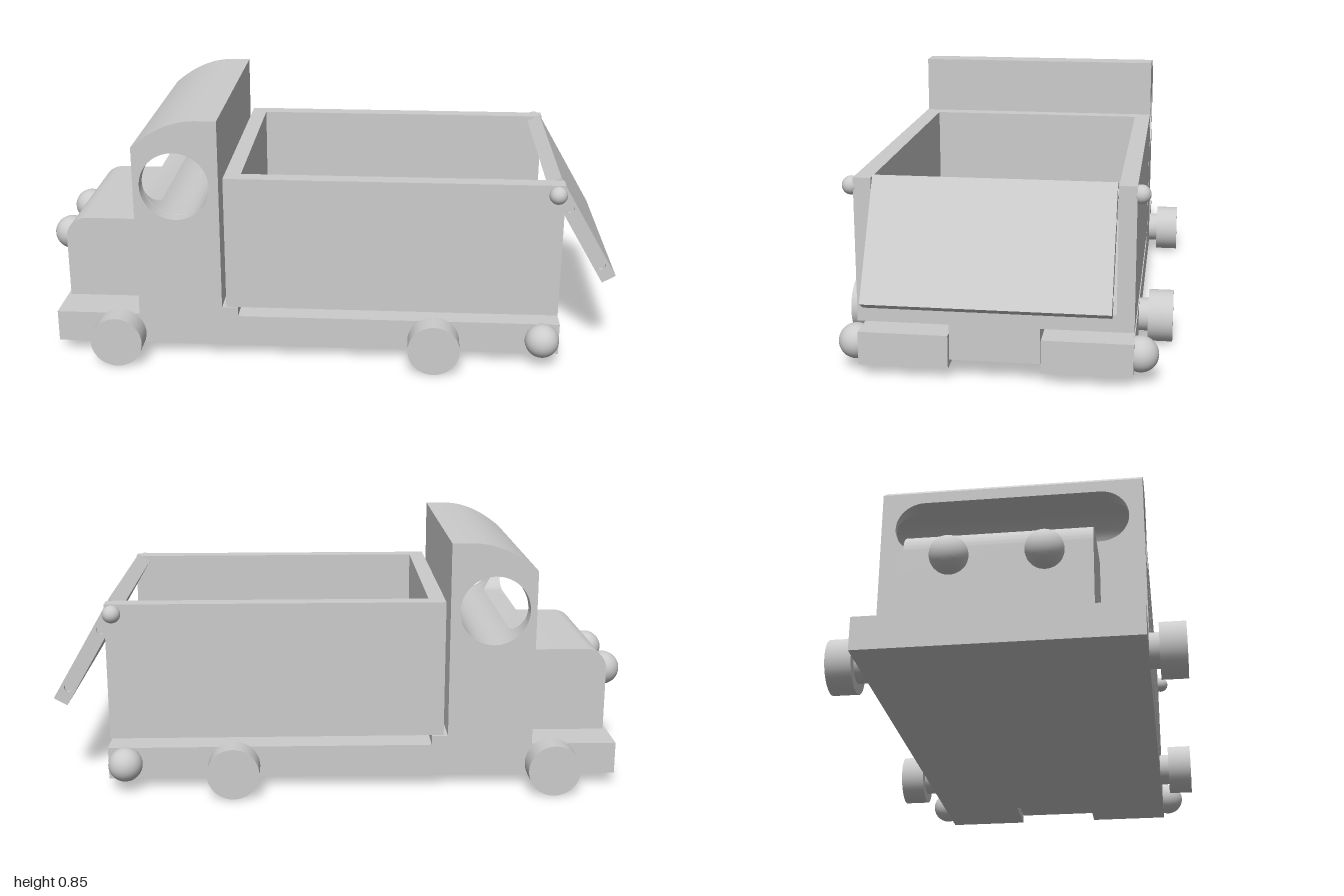
import * as THREE from 'three';
import { toCreasedNormals } from 'three/addons/utils/BufferGeometryUtils.js';

const mat = new THREE.MeshStandardMaterial({ color: 0xcccccc });
const matDouble = new THREE.MeshStandardMaterial({ color: 0xcccccc, side: THREE.DoubleSide });

function add(parent, name, geometry, x = 0, y = 0, z = 0, material = mat) {
  const mesh = new THREE.Mesh(geometry, material);
  mesh.name = name;
  mesh.position.set(x, y, z);
  parent.add(mesh);
  return mesh;
}

// Box given by its limits along each axis
function box(parent, name, [x0, x1], [y0, y1], [z0, z1]) {
  return add(parent, name, new THREE.BoxGeometry(x1 - x0, y1 - y0, z1 - z0),
    (x0 + x1) / 2, (y0 + y1) / 2, (z0 + z1) / 2);
}

// Cylinder lying along z
function rod(parent, name, r, x, y, z0, z1, sides = 32) {
  const g = new THREE.CylinderGeometry(r, r, z1 - z0, sides).rotateX(Math.PI / 2);
  return add(parent, name, g, x, y, (z0 + z1) / 2);
}

const ball = (parent, name, r, x, y, z) => add(parent, name, new THREE.SphereGeometry(r, 32, 20), x, y, z);

const polygon = (pts) => new THREE.Shape(pts.map(([x, y]) => new THREE.Vector2(x, y)));

function extrude(shape, depth) {
  const g = new THREE.ExtrudeGeometry(shape, { depth, bevelEnabled: false, curveSegments: 16 });
  return toCreasedNormals(g.translate(0, 0, -depth / 2), 0.6);
}

// Cab: round side window runs across, a rounded slot opens it to the front
function buildCab(parent) {
  const cab = new THREE.Group();
  cab.name = 'cab';
  parent.add(cab);
  const front = -0.64, back = -0.35, base = 0.145, half = 0.438;
  const cx = -0.5, cy = 0.615, R = 0.118;
  const slotR = 0.095, slotHalf = 0.39;
  const roof = new THREE.QuadraticBezierCurve(
    new THREE.Vector2(-0.42, 0.845), new THREE.Vector2(-0.53, 0.845), new THREE.Vector2(front, 0.75)).getPoints(14);
  const outline = [[front, base], [back, base], [back, 0.845], ...roof.map((p) => [p.x, p.y])];

  // Cross-section with the slot open by h above and below its centre line
  const section = (h) => {
    const loop = [...outline, [front, cy + h]];
    const limit = Math.PI - Math.asin(h / R);
    for (let i = 0; i <= 48; i++) {
      const a = limit * (1 - i / 24);
      loop.push([cx + R * Math.cos(a), cy + R * Math.sin(a)]);
    }
    loop.push([front, cy - h]);
    return loop;
  };

  const stations = [[-half, 0]];
  for (const s of [-1, 1]) {
    for (let i = 0; i <= 12; i++) {
      const t = (s < 0 ? i : 12 - i) / 12 * Math.PI / 2;
      stations.push([s * (slotHalf - slotR + slotR * Math.cos(t)), i === (s < 0 ? 0 : 12) ? 0 : slotR * Math.sin(t)]);
    }
  }
  stations.push([half, 0]);

  const pos = [];
  for (let k = 0; k < stations.length - 1; k++) {
    const [z0, h0] = stations[k], [z1, h1] = stations[k + 1];
    const p = section(h0), q = section(h1);
    for (let i = 0; i < p.length; i++) {
      const j = (i + 1) % p.length;
      const a = [...p[i], z0], b = [...p[j], z0], c = [...q[j], z1], d = [...q[i], z1];
      pos.push(...a, ...b, ...c, ...a, ...c, ...d);
    }
  }
  const g = new THREE.BufferGeometry();
  g.setAttribute('position', new THREE.Float32BufferAttribute(pos, 3));
  add(cab, 'cabShell', toCreasedNormals(g, 0.5));

  // Cab sides
  const side = polygon(outline);
  side.holes.push(new THREE.Path().absarc(cx, cy, R, 0, Math.PI * 2, true));
  for (const s of [-1, 1]) add(cab, 'cabSide', new THREE.ShapeGeometry(side, 24), 0, 0, s * half, matDouble);
}

export function createModel() {
  const truck = new THREE.Group();
  truck.name = 'dumpTruck';

  // Chassis with a notch at the rear for the bed hinge
  const plan = polygon([[-0.93, -0.438], [0.81, -0.438], [0.81, -0.148], [0.61, -0.148],
    [0.61, 0.148], [0.81, 0.148], [0.81, 0.438], [-0.93, 0.438]]);
  add(truck, 'chassis', extrude(plan, 0.11).rotateX(-Math.PI / 2), 0, 0.09, 0);
  box(truck, 'bedRest', [-0.35, -0.295], [0.145, 0.177], [-0.438, 0.438]);

  buildCab(truck);

  // Hood, rounded along the top front edge
  const hood = new THREE.Shape();
  hood.moveTo(-0.92, 0.145);
  hood.lineTo(-0.64, 0.145);
  hood.lineTo(-0.64, 0.44);
  hood.lineTo(-0.845, 0.44);
  hood.absarc(-0.845, 0.365, 0.075, Math.PI / 2, Math.PI, false);
  hood.closePath();
  add(truck, 'hood', extrude(hood, 0.58));

  // Tipping bed, open at the rear
  const bed = new THREE.Group();
  bed.name = 'bed';
  truck.add(bed);
  box(bed, 'bedFloor', [-0.335, 0.80], [0.18, 0.236], [-0.438, 0.438]);
  box(bed, 'bedFrontWall', [-0.335, -0.28], [0.236, 0.647], [-0.438, 0.438]);
  box(bed, 'bedHingeBlock', [0.632, 0.80], [0.062, 0.18], [-0.145, 0.145]);
  rod(bed, 'bedHingeRod', 0.03, 0.75, 0.093, -0.44, 0.44);

  // Tailgate, swung outward from its top edge, with dowels sunk in its ends
  const gate = new THREE.Group();
  gate.name = 'tailgate';
  truck.add(gate);
  const panel = polygon([[0.95, 0.28], [0.995, 0.306], [0.79, 0.656], [0.745, 0.63]]);
  const dowels = [[0.825, 0.545], [0.943, 0.343]];
  for (const [x, y] of dowels) {
    panel.holes.push(new THREE.Path().absarc(x, y, 0.015, 0, Math.PI * 2, true));
    rod(gate, 'tailgateDowel', 0.0152, x, y, -0.365, 0.365, 20);
  }
  add(gate, 'tailgatePanel', extrude(panel, 0.756));
  rod(gate, 'tailgateHingeRod', 0.015, 0.775, 0.617, -0.44, 0.44, 20);

  // Parts repeated on both sides
  for (const s of [-1, 1]) {
    const span = (a, b) => (s > 0 ? [a, b] : [-b, -a]);
    box(bed, 'bedSideWall', [-0.28, 0.80], [0.236, 0.647], span(0.382, 0.438));
    ball(truck, 'headlight', 0.06, -0.94, 0.33, s * 0.145);
    ball(bed, 'bedHingeCap', 0.058, 0.75, 0.093, s * 0.457);
    ball(gate, 'tailgateHingeCap', 0.03, 0.775, 0.617, s * 0.449);
    for (const x of [-0.70, 0.38]) {
      rod(truck, 'axle', 0.056, x, 0.09, ...span(0.42, 0.475));
      rod(truck, 'wheel', 0.088, x, 0.088, ...span(0.47, 0.553), 40);
    }
  }
  return truck;
}
